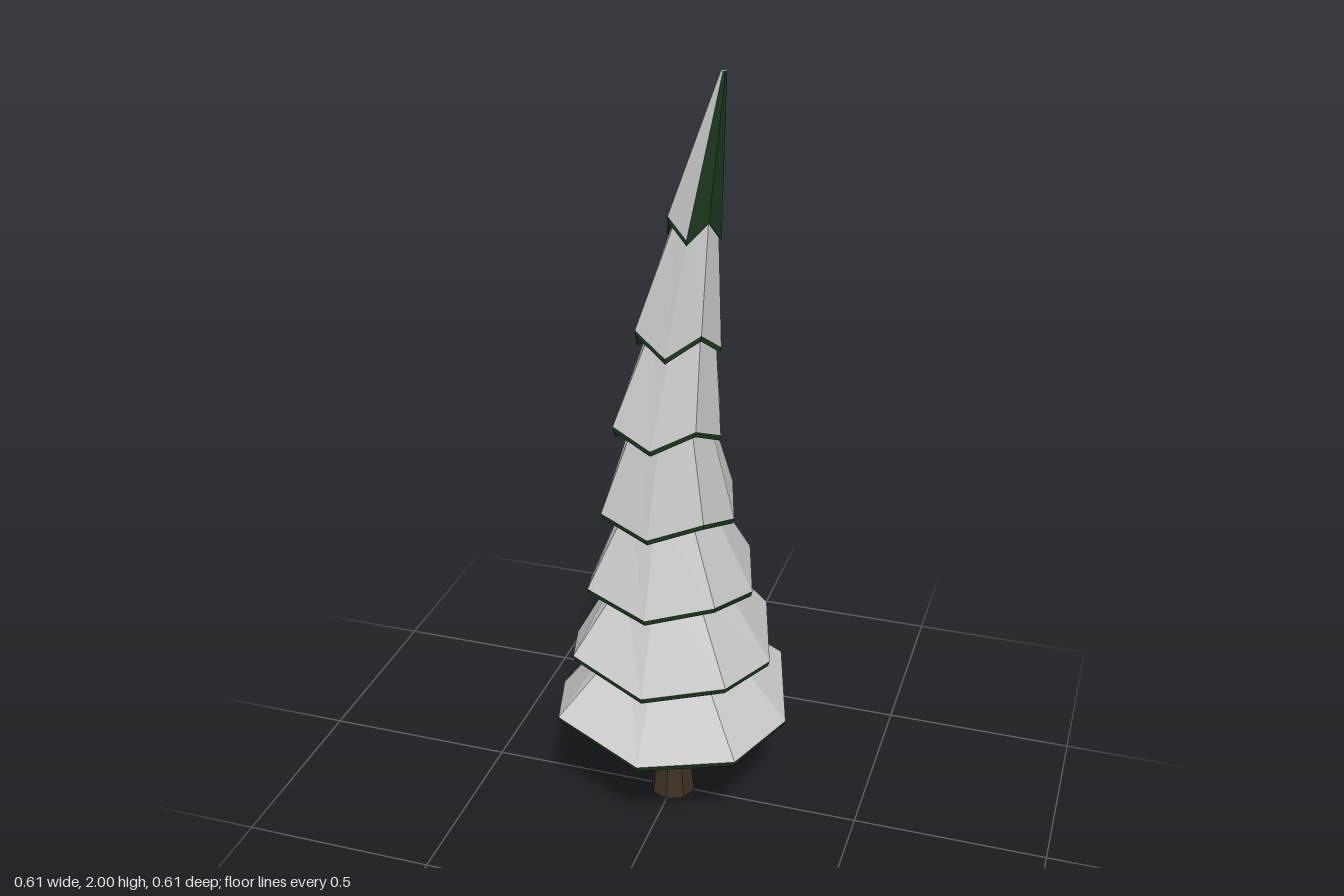
import * as THREE from 'three';

const SIDES = 8;
const snow = new THREE.MeshStandardMaterial({ color: 0xcccccc, flatShading: true });
const needles = new THREE.MeshStandardMaterial({ color: 0x1c381e, flatShading: true });
const bark = new THREE.MeshStandardMaterial({ color: 0x3d3024, flatShading: true });

// Octagonal ring: corner 0 faces the front, corners go round towards +x.
// Odd (diagonal) corners stick out a little further; lift(j, sin, cos) sets their height.
function ring(x, y, z, r, lift = () => 0) {
  return Array.from({ length: SIDES }, (_, j) => {
    const a = (j / SIDES) * Math.PI * 2, s = Math.sin(a), c = Math.cos(a);
    const k = j % 2 ? r * 1.08 : r;
    return new THREE.Vector3(x + k * s, y + lift(j, s, c), z + k * c);
  });
}

// Flat faces between successive rings, outer side first, for the chosen sides
function skin(name, rings, material, sides = [0, 1, 2, 3, 4, 5, 6, 7]) {
  const points = [];
  for (let i = 0; i + 1 < rings.length; i++) {
    const [up, low] = [rings[i], rings[i + 1]];
    for (const j of sides) {
      const n = (j + 1) % SIDES;
      points.push(up[j], low[j], low[n], up[j], low[n], up[n]);
    }
  }
  const geometry = new THREE.BufferGeometry().setFromPoints(points);
  geometry.computeVertexNormals();
  const mesh = new THREE.Mesh(geometry, material);
  mesh.name = name;
  return mesh;
}

// Rim: x, y, z, radius, tilt; top: x, y, z, radius; raise of diagonal corners (front right, others)
const TIERS = [
  { rim: [0, 0.262, 0, 0.305, 0], top: [0, 0.52, 0.01, 0.115], raise: [0.018, 0.055] },
  { rim: [0, 0.437, 0.007, 0.26, 0.004], top: [0, 0.7, 0.02, 0.122], raise: [0.03, 0.055] },
  { rim: [0, 0.632, 0.022, 0.214, 0.017], top: [0.003, 0.92, 0.045, 0.1], raise: [0.03, 0.05] },
  { rim: [0, 0.842, 0.042, 0.169, 0.018], top: [0.02, 1.16, 0.07, 0.088], raise: [0.035, 0.05] },
  { rim: [0.01, 1.085, 0.08, 0.133, 0.014], top: [0.055, 1.42, 0.08, 0.07], raise: [0.045, 0.05] },
  { rim: [0.036, 1.318, 0.075, 0.104, 0.004], top: [0.09, 1.68, 0.098, 0.045], raise: [0.055, 0.055] },
  { rim: [0.08, 1.595, 0.095, 0.063, 0.008], top: [0.16, 2, 0.155, 0.007], raise: [0.05, 0.055] },
];

function createTier({ rim: [x, y, z, r, tilt], top, raise }, index) {
  const group = new THREE.Group();
  group.name = `branchTier${index + 1}`;
  const lift = (j, s, c) => tilt * (s + c) + (j % 2 ? raise[j === 1 ? 0 : 1] : 0);

  const upper = ring(...top);
  const edge = ring(x, y + 0.014, z, r, lift);
  const lip = ring(x, y, z, r * 0.985, lift);
  const inner = ring(x, y + 0.05, z, 0.02);

  if (index === TIERS.length - 1) {
    // The tip is bare of snow on its front right faces
    skinInto(group, 'tipSnow', [upper, edge], snow, [3, 4, 5, 6, 7]);
    skinInto(group, 'tipBareNeedles', [upper, edge], needles, [0, 1, 2]);
    skinInto(group, 'tipCap', [ring(top[0], top[1], top[2], 0), upper], snow);
  } else {
    skinInto(group, 'snowCover', [upper, edge], snow);
  }
  skinInto(group, 'needleUnderside', [edge, lip, inner], needles);
  return group;
}

function skinInto(group, ...args) {
  group.add(skin(...args));
}

export function createModel() {
  const model = new THREE.Group();
  model.name = 'snowyPineTree';

  // Flared trunk, closed at the foot
  const profile = [[0, 0], [0.06, 0], [0.047, 0.1], [0.039, 0.2], [0.036, 0.34]];
  const trunk = new THREE.Mesh(
    new THREE.LatheGeometry(profile.map(([r, h]) => new THREE.Vector2(r, h)), SIDES), bark);
  trunk.name = 'trunk';
  model.add(trunk);

  TIERS.forEach((tier, i) => model.add(createTier(tier, i)));
  return model;
}
